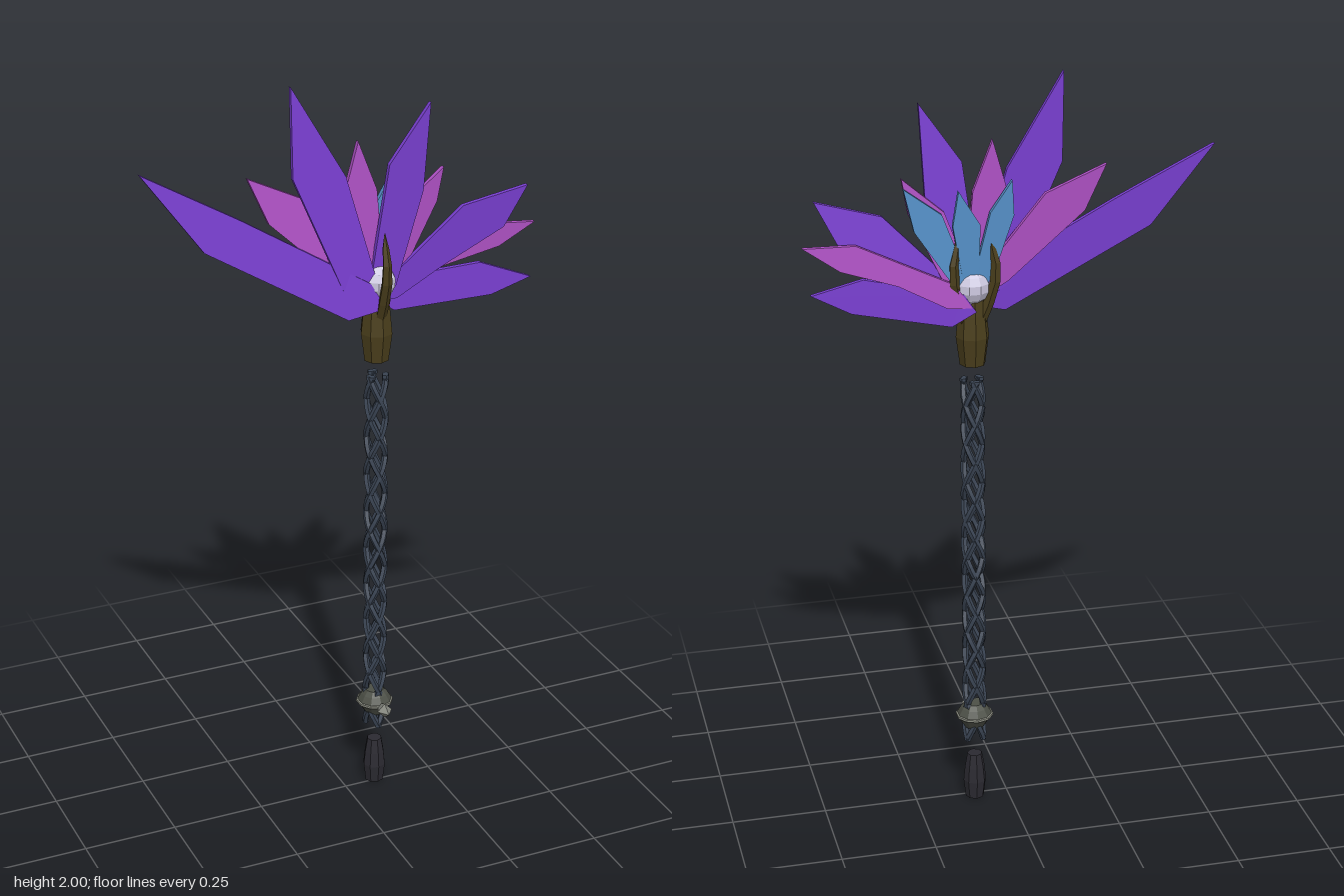
import * as THREE from 'three';

const AXIS_X = 0.09, AXIS_Z = -0.01;

const paint = (color) => new THREE.MeshStandardMaterial({ color, flatShading: true });

function addMesh(parent, name, geometry, material) {
  const mesh = new THREE.Mesh(geometry, material);
  mesh.name = name;
  parent.add(mesh);
  return mesh;
}

// Faceted turned part; profile is a list of [radius, height]
function turned(profile, sides) {
  return new THREE.LatheGeometry(profile.map(([r, y]) => new THREE.Vector2(r, y)), sides);
}

// Thin slab with a pointed outline (tip first), leaning in depth from zBase to zTip
function petalGeometry(outline, zBase, zTip, base = [0.09, 1.41]) {
  const thickness = 0.013;
  const shape = new THREE.Shape(outline.map(([x, y]) => new THREE.Vector2(x, y)));
  const geo = new THREE.ExtrudeGeometry(shape, { depth: thickness, bevelEnabled: false });
  const root = new THREE.Vector2(...base);
  const dir = new THREE.Vector2(...outline[0]).sub(root);
  const pos = geo.attributes.position;
  for (let i = 0; i < pos.count; i++) {
    const t = new THREE.Vector2(pos.getX(i), pos.getY(i)).sub(root).dot(dir) / dir.lengthSq();
    pos.setZ(i, pos.getZ(i) - thickness / 2 + THREE.MathUtils.lerp(zBase, zTip, t));
  }
  geo.computeVertexNormals();
  return geo;
}

// Tapering claw: square cross-sections swept along [radius, height, halfWidth] stations
function prongGeometry(stations) {
  const sides = 5, positions = [], index = [];
  stations.forEach(([r, y, w]) => {
    for (let k = 0; k < sides; k++) {
      const a = (k / sides) * Math.PI * 2;
      positions.push(Math.sin(a) * w, y, r + Math.cos(a) * w);
    }
  });
  for (let s = 0; s < stations.length - 1; s++) {
    for (let k = 0; k < sides; k++) {
      const a = s * sides + k, b = s * sides + (k + 1) % sides;
      index.push(a, b, b + sides, a, b + sides, a + sides);
    }
  }
  const geo = new THREE.BufferGeometry();
  geo.setAttribute('position', new THREE.Float32BufferAttribute(positions, 3));
  geo.setIndex(index);
  geo.computeVertexNormals();
  return geo;
}

export function createModel() {
  const model = new THREE.Group();
  model.name = 'flowerStaff';
  const staff = new THREE.Group();
  staff.name = 'staff';
  staff.position.set(AXIS_X, 0, AXIS_Z);
  model.add(staff);

  // Pommel floating below the shaft
  addMesh(staff, 'pommel', turned([[0, 0], [0.025, 0], [0.031, 0.05], [0.027, 0.09], [0.02, 0.13], [0, 0.13]], 8), paint(0x2b2a31));

  // Shaft: strands wound in both directions
  const shaft = new THREE.Group();
  shaft.name = 'braidedShaft';
  staff.add(shaft);
  const slate = paint(0x3a4453);
  const strands = 3, turns = 3.2, y0 = 0.18, y1 = 1.21;
  for (const way of [1, -1]) {
    for (let s = 0; s < strands; s++) {
      const points = [];
      for (let i = 0; i <= 64; i++) {
        const t = i / 64;
        const a = way * (t * turns + s / strands) * Math.PI * 2;
        points.push(new THREE.Vector3(Math.sin(a) * 0.024, y0 + (y1 - y0) * t, Math.cos(a) * 0.024));
      }
      addMesh(shaft, 'strand', new THREE.TubeGeometry(new THREE.CatmullRomCurve3(points), 80, 0.0085, 5), slate);
      for (const end of [points[0], points[64]]) {
        addMesh(shaft, 'strandEnd', new THREE.CylinderGeometry(0.009, 0.009, 0.008, 5), slate).position.copy(end);
      }
    }
  }

  // Collar with a bright rim and a pointed stud facing forward
  addMesh(staff, 'collar', turned([[0, 0.213], [0.025, 0.213], [0.036, 0.23], [0.046, 0.245], [0.046, 0.255], [0.036, 0.272], [0.025, 0.285], [0, 0.285]], 10), paint(0x4d5047));
  addMesh(staff, 'collarRim', turned([[0.04, 0.244], [0.05, 0.247], [0.05, 0.253], [0.04, 0.256]], 10), paint(0x8b8d82));
  const stud = addMesh(staff, 'collarStud', turned([[0, 0.035], [0.01, 0.045], [0.021, 0.067], [0, 0.094]], 4), paint(0x85877f));
  stud.rotation.x = Math.PI / 2;
  stud.position.y = 0.25;

  // Flower cup
  const brown = paint(0x4b3f1c);
  addMesh(staff, 'cup', turned([[0, 1.255], [0.033, 1.255], [0.043, 1.33], [0.037, 1.39], [0.032, 1.43], [0, 1.43]], 8), brown);

  // Three prongs around the orb
  const prong = prongGeometry([[0.022, 1.37, 0.015], [0.042, 1.42, 0.015], [0.06, 1.48, 0.014], [0.062, 1.53, 0.012], [0.052, 1.57, 0.009], [0.046, 1.61, 0.001]]);
  for (let k = 0; k < 3; k++) {
    addMesh(staff, 'prong', prong, brown).rotation.y = (k / 3) * Math.PI * 2;
  }
  addMesh(staff, 'orb', new THREE.SphereGeometry(0.048, 10, 7), paint(0xcfcbe2)).position.set(0.003, 1.465, -0.005);

  // Large outer petals: outline, base depth, tip depth
  const purple = paint(0x7a3fd2);
  [
    [[[-0.51, 1.81], [-0.36, 1.6], [0, 1.385], [0.1, 1.405], [0.06, 1.475], [-0.27, 1.675]], 0.022, -0.077],
    [[[-0.14, 2], [-0.14, 1.77], [-0.01, 1.46], [0.06, 1.41], [0.085, 1.46], [0, 1.76]], 0.01, -0.015],
    [[[0.215, 1.93], [0.11, 1.78], [0.07, 1.47], [0.1, 1.41], [0.14, 1.45], [0.205, 1.7]], -0.012, 0.025],
    [[[0.475, 1.69], [0.31, 1.65], [0.12, 1.46], [0.1, 1.405], [0.15, 1.41], [0.26, 1.485], [0.42, 1.58]], -0.03, 0.052],
    [[[0.487, 1.445], [0.36, 1.49], [0.12, 1.455], [0.09, 1.41], [0.15, 1.37], [0.39, 1.4]], -0.055, 0.06],
  ].forEach(([outline, zb, zt]) => addMesh(model, 'outerPetal', petalGeometry(outline, zb, zt), purple));

  // Pink middle petals
  const pink = paint(0xb052c6);
  [
    [[[-0.24, 1.77], [-0.19, 1.65], [0, 1.47], [0.08, 1.42], [0.06, 1.5], [-0.09, 1.7]], 0, -0.055],
    [[[0.04, 1.84], [0, 1.7], [0.045, 1.46], [0.09, 1.42], [0.11, 1.48], [0.09, 1.71]], -0.012, -0.02],
    [[[0.265, 1.75], [0.16, 1.66], [0.09, 1.47], [0.1, 1.42], [0.16, 1.47], [0.25, 1.66]], -0.025, 0],
    [[[0.51, 1.58], [0.38, 1.585], [0.14, 1.48], [0.1, 1.42], [0.16, 1.42], [0.28, 1.48], [0.42, 1.52]], -0.055, 0.03],
  ].forEach(([outline, zb, zt]) => addMesh(model, 'middlePetal', petalGeometry(outline, zb, zt), pink));

  // Small blue petals at the back
  const blue = paint(0x5590c8);
  [
    [[[-0.005, 1.74], [-0.01, 1.65], [0.04, 1.5], [0.08, 1.44], [0.09, 1.5], [0.05, 1.66]], -0.03, -0.04],
    [[[0.13, 1.72], [0.075, 1.63], [0.08, 1.49], [0.1, 1.44], [0.12, 1.49], [0.145, 1.63]], -0.035, -0.037],
    [[[0.265, 1.73], [0.17, 1.66], [0.11, 1.5], [0.11, 1.44], [0.16, 1.5], [0.24, 1.62]], -0.04, -0.022],
  ].forEach(([outline, zb, zt]) => addMesh(model, 'innerPetal', petalGeometry(outline, zb, zt), blue));

  return model;
}
